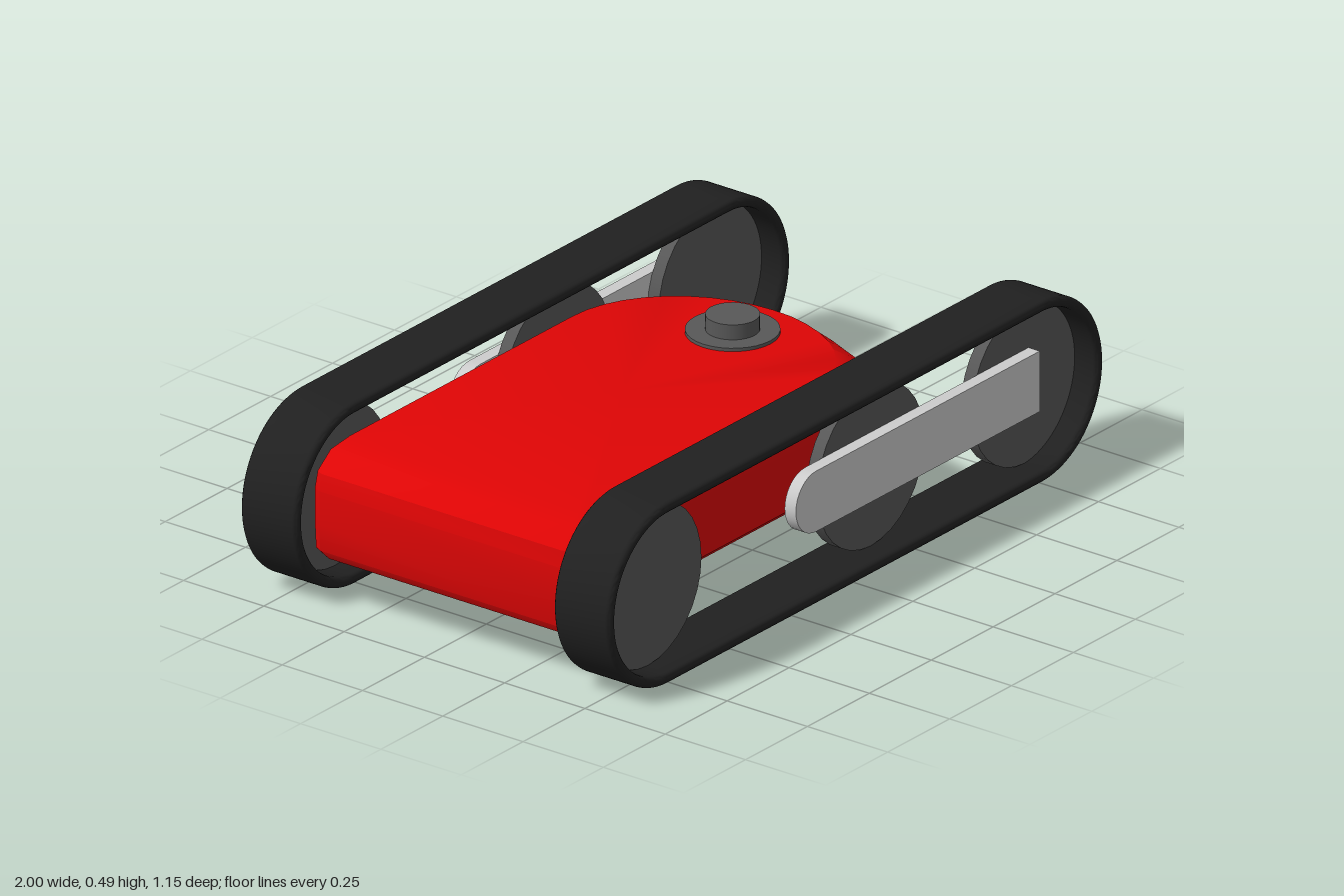
import * as THREE from 'three';
import { toCreasedNormals } from 'three/addons/utils/BufferGeometryUtils.js';

const material = (color) => new THREE.MeshStandardMaterial({ color });
const red = material(0xdd0505);
const rubber = material(0x202020);
const darkGrey = material(0x585858);
const lightGrey = material(0xcccccc);

const AXLE_Y = 0.2455;

function addMesh(parent, name, geometry, mat, x = 0, y = 0, z = 0) {
  const mesh = new THREE.Mesh(geometry, mat);
  mesh.name = name;
  mesh.position.set(x, y, z);
  parent.add(mesh);
  return mesh;
}

// Horizontal hull outline: rounded nose towards +x, nearly square rear
function hullOutline({ w, back, noseStart, front, power }) {
  const points = [];
  const steps = 20;
  for (let i = 0; i <= steps; i++) {
    const t = (i / steps) * Math.PI;
    const c = Math.cos(t);
    const s = Math.max(0, Math.sin(t));
    points.push([
      noseStart + (front - noseStart) * s ** power,
      -w * Math.sign(c) * Math.abs(c) ** power,
    ]);
  }
  points.push([back + 0.01, w], [back, w - 0.02], [back, -w + 0.02], [back + 0.01, -w]);
  return points;
}

// Hull lofted through horizontal outlines from bottom to top
function hullGeometry() {
  const layers = [
    { y: 0.142, w: 0.375, back: -0.925, noseStart: 0.2, front: 0.385, power: 0.5 },
    { y: 0.162, w: 0.395, back: -0.935, noseStart: 0.2, front: 0.4, power: 0.5 },
    { y: 0.235, w: 0.395, back: -0.94, noseStart: 0.2, front: 0.437, power: 0.5 },
    { y: 0.325, w: 0.395, back: -0.94, noseStart: 0.2, front: 0.447, power: 0.5 },
    { y: 0.368, w: 0.394, back: -0.93, noseStart: 0.18, front: 0.437, power: 0.6 },
    { y: 0.412, w: 0.388, back: -0.885, noseStart: 0.12, front: 0.42, power: 0.85 },
    { y: 0.434, w: 0.37, back: -0.83, noseStart: 0.08, front: 0.41, power: 1 },
  ];
  const positions = [];
  const index = [];
  let n = 0;
  for (const layer of layers) {
    const outline = hullOutline(layer);
    n = outline.length;
    for (const [x, z] of outline) positions.push(x, layer.y, z);
  }
  const last = (layers.length - 1) * n;
  const bottomCentre = layers.length * n;
  positions.push(-0.2, layers[0].y, 0, -0.2, layers[layers.length - 1].y, 0);
  for (let i = 0; i < n; i++) {
    const j = (i + 1) % n;
    for (let k = 0; k < last; k += n) {
      index.push(k + i, k + n + j, k + j, k + i, k + n + i, k + n + j);
    }
    index.push(bottomCentre, i, j, bottomCentre + 1, last + j, last + i);
  }
  const geometry = new THREE.BufferGeometry();
  geometry.setAttribute('position', new THREE.Float32BufferAttribute(positions, 3));
  geometry.setIndex(index);
  return toCreasedNormals(geometry, 0.5);
}

// Stadium outline around two axles
function stadium(target, halfLength, radius) {
  target.absarc(halfLength, 0, radius, -Math.PI / 2, Math.PI / 2, false);
  target.absarc(-halfLength, 0, radius, Math.PI / 2, Math.PI * 1.5, false);
  target.closePath();
  return target;
}

// Hollow belt with softened edges, centred on z = 0
function beltGeometry() {
  const bevel = 0.013;
  const depth = 0.175 - 2 * bevel;
  const shape = stadium(new THREE.Shape(), 0.755, 0.245 - bevel);
  shape.holes.push(stadium(new THREE.Path(), 0.755, 0.216 + bevel));
  const geometry = new THREE.ExtrudeGeometry(shape, {
    depth, bevelThickness: bevel, bevelSize: bevel, bevelSegments: 3, curveSegments: 28,
  });
  geometry.translate(0, 0, -depth / 2);
  return toCreasedNormals(geometry, 0.6);
}

// Flat arm, round at one end and square at the other
function armGeometry() {
  const r = 0.082;
  const shape = new THREE.Shape();
  shape.moveTo(0.785, -r);
  shape.lineTo(0.785, r);
  shape.lineTo(-0.118, r);
  shape.absarc(-0.118, 0, r, Math.PI / 2, Math.PI * 1.5, false);
  const geometry = new THREE.ExtrudeGeometry(shape, {
    depth: 0.035, bevelEnabled: false, curveSegments: 8,
  });
  geometry.translate(0, 0, -0.0175);
  return toCreasedNormals(geometry, 0.6);
}

export function createModel() {
  const model = new THREE.Group();
  model.name = 'trackedRobot';

  addMesh(model, 'hull', hullGeometry(), red);

  // Round sensor mount on the deck
  const mount = new THREE.Group();
  mount.name = 'sensorMount';
  mount.position.set(0.245, 0, 0);
  addMesh(mount, 'mountFlange', new THREE.CylinderGeometry(0.118, 0.118, 0.016, 32), darkGrey, 0, 0.435, 0);
  addMesh(mount, 'mountCap', new THREE.CylinderGeometry(0.068, 0.068, 0.045, 32), darkGrey, 0, 0.461, 0);
  model.add(mount);

  // Track units on both sides, each with belt, three thin wheel discs and outer arm
  const belt = beltGeometry();
  const arm = armGeometry();
  const wheel = new THREE.CylinderGeometry(0.216, 0.216, 0.035, 32).rotateX(Math.PI / 2);
  for (const side of [1, -1]) {
    const unit = new THREE.Group();
    unit.name = side > 0 ? 'frontTrackUnit' : 'backTrackUnit';
    unit.position.y = AXLE_Y;
    addMesh(unit, 'belt', belt, rubber, 0, 0, side * 0.4875);
    for (const [name, x] of [['rearWheel', -0.752], ['middleWheel', 0.148], ['noseWheel', 0.772]]) {
      addMesh(unit, name, wheel, darkGrey, x, 0, side * 0.4875);
    }
    addMesh(unit, 'arm', arm, lightGrey, 0, 0.01, side * 0.5225);
    model.add(unit);
  }
  return model;
}
